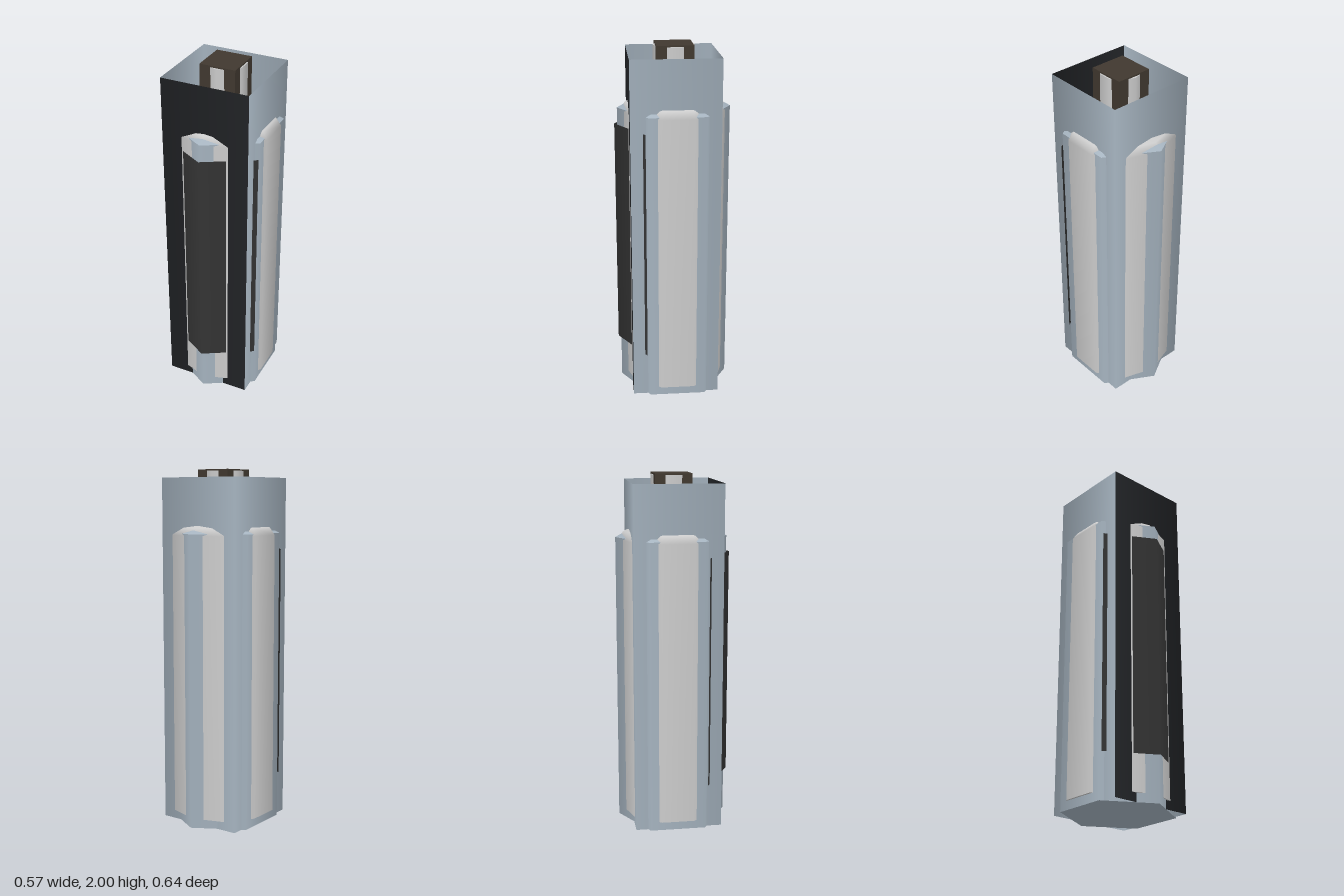
import * as THREE from 'three';

const AXIS_Z = -0.008;

function material(color) {
  return new THREE.MeshStandardMaterial({ color, side: THREE.DoubleSide });
}

export function createModel() {
  const group = new THREE.Group();
  const blue = material(0xa6b4c0);
  const grey = material(0xcccccc);
  const black = material(0x212326);
  const charcoal = material(0x343434);
  const brown = material(0x40382f);

  function add(name, geometry, mat, y, z) {
    const mesh = new THREE.Mesh(geometry, mat);
    mesh.name = name;
    mesh.position.set(0, y, z);
    group.add(mesh);
    return mesh;
  }

  // Turned part with few sides; a corner always points to the front
  function turned(name, points, sides, mat) {
    const profile = points.map(([r, y]) => new THREE.Vector2(r, y));
    return add(name, new THREE.LatheGeometry(profile, sides), mat, 0, AXIS_Z);
  }

  // Open wall made of flat panels, spanning an angle around the front
  function wall(name, radius, height, panels, start, span, mat, y, z) {
    const geometry = new THREE.CylinderGeometry(radius, radius, height, panels, 1, true, start, span);
    return add(name, geometry, mat, y + height / 2, z);
  }

  // Six-sided shell with a sloping shoulder; doubled points keep its rims sharp
  turned('hexShell', [
    [0.314, 0], [0.314, 1.65], [0.314, 1.65], [0.24, 1.692], [0.115, 1.76], [0, 1.76],
  ], 6, blue);
  const base = add('shellBase', new THREE.CircleGeometry(0.314, 6, Math.PI / 2), blue, 0, AXIS_Z);
  base.rotation.x = Math.PI / 2;

  // Ten-sided inner body, showing through the flats of the shell
  turned('innerBody', [
    [0, 0.05], [0.298, 0.05], [0.298, 0.05], [0.298, 1.64],
    [0.27, 1.682], [0.18, 1.715], [0, 1.72],
  ], 10, grey);

  // Ten-sided neck and its square cap
  turned('neck', [[0.115, 1.7], [0.115, 1.992], [0.115, 1.992], [0, 1.992]], 10, grey);
  add('topCap', new THREE.BoxGeometry(0.204, 0.3, 0.204), brown, 1.85, AXIS_Z);

  // Square sleeve, open at both ends, with a dark front panel
  const r = 0.25 * Math.SQRT2;
  const q = Math.PI / 4;
  const sleeve = [
    wall('sleeve', r, 1.955, 3, q, 6 * q, blue, 0, 0),
    wall('frontPanel', r, 1.955, 1, -q, 2 * q, black, 0, 0),
  ];
  sleeve.forEach((mesh) => { mesh.scale.z = 0.984; });

  // Thin folded label wrapped over the front corner of the shell
  wall('label', 0.314, 1.305, 2, -Math.PI / 3, 2 * Math.PI / 3, charcoal, 0.255, AXIS_Z + 0.016);

  return group;
}
